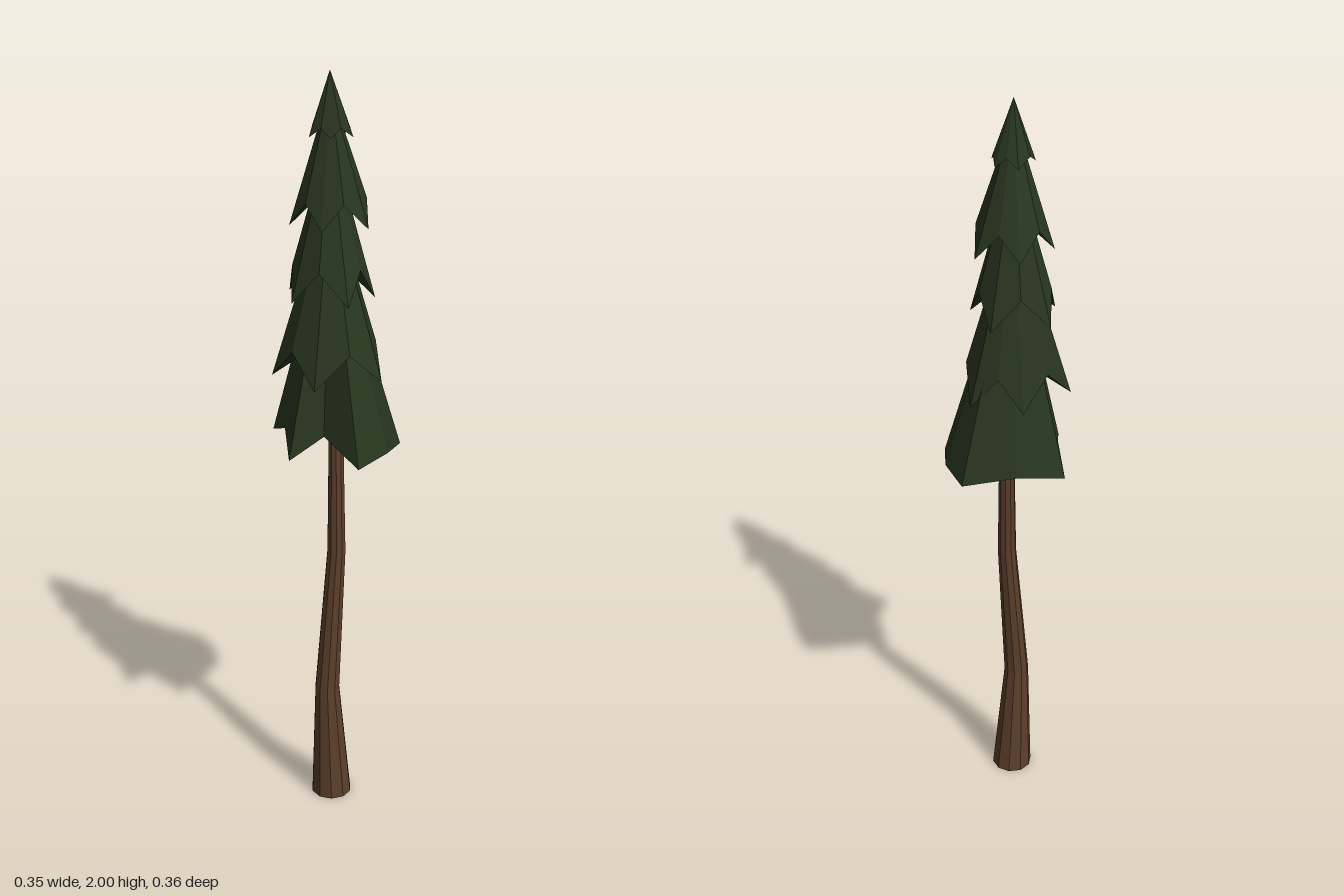
import * as THREE from 'three';

const bark = new THREE.MeshStandardMaterial({ color: 0x5c3f2b, flatShading: true });
const needles = new THREE.MeshStandardMaterial({ color: 0x28361f, flatShading: true });

// Flat-shaded mesh from a list of triangle corners
function facetMesh(name, points, material) {
  const geometry = new THREE.BufferGeometry().setFromPoints(points);
  geometry.computeVertexNormals();
  const mesh = new THREE.Mesh(geometry, material);
  mesh.name = name;
  return mesh;
}

// Point on a level circle, angle in degrees from +x towards +z
function onCircle(x, y, z, radius, degrees) {
  const a = THREE.MathUtils.degToRad(degrees);
  return new THREE.Vector3(x + radius * Math.cos(a), y, z + radius * Math.sin(a));
}

// Bent, tapering trunk lofted through ten-sided rings [x, y, z, radius]
function trunk() {
  const rings = [
    [0.005, 0, 0.028, 0.056], [-0.002, 0.34, 0.042, 0.034],
    [0.018, 0.75, 0.023, 0.025], [0.012, 1.2, 0.01, 0.018],
  ];
  const at = (k, i) => onCircle(...rings[k], i * 36);
  const base = onCircle(...rings[0].slice(0, 3), 0, 0);
  const tris = [];
  for (let i = 0; i < 10; i++) {
    for (let k = 0; k < rings.length - 1; k++) {
      const a = at(k, i), b = at(k, i + 1), c = at(k + 1, i + 1), d = at(k + 1, i);
      tris.push(a, c, b, a, d, c);
    }
    tris.push(base, at(0, i), at(0, i + 1));
  }
  return facetMesh('trunk', tris, bark);
}

// One tier: cone over a star rim with a hollowed underside.
// Each tip is [degrees, radius]; a raised notch follows it halfway to the next tip.
function tier({ y, z, rise, apex, tips, notches }, index) {
  const rim = [];
  tips.forEach(([angle, radius], i) => {
    const [next, nextRadius] = tips[(i + 1) % tips.length];
    const middle = angle + THREE.MathUtils.euclideanModulo(next - angle, 360) / 2;
    const notch = notches[i % notches.length];
    rim.push(onCircle(0.002, y, z, radius, angle));
    rim.push(onCircle(0.002, y + rise * (1 - notch), z, notch * (radius + nextRadius) / 2, middle));
  });
  const top = new THREE.Vector3(0.002, apex, 0.027);
  const under = new THREE.Vector3(0.006, y + 0.1, 0.02);
  const tris = [];
  rim.forEach((p, i) => {
    const q = rim[(i + 1) % rim.length];
    tris.push(top, q, p, under, p, q);
  });
  return facetMesh(`foliageTier${index + 1}`, tris, needles);
}

// Tiers from the widest at the bottom to the tip
const tiers = [
  { y: 1.055, z: 0.01, rise: 0.15, apex: 1.66, notches: [0.93, 0.62, 0.7, 0.83, 0.95],
    tips: [[-13, 0.176], [54, 0.206], [111, 0.174], [192, 0.179], [282, 0.194]] },
  { y: 1.245, z: 0.028, rise: 0.45, apex: 1.73, notches: [0.82],
    tips: [[8, 0.143], [88, 0.144], [160, 0.147], [233, 0.14], [290, 0.148]] },
  { y: 1.45, z: 0.025, rise: 0.4, apex: 1.86, notches: [0.8],
    tips: [[-10, 0.112], [52, 0.125], [125, 0.12], [190, 0.116], [272, 0.113]] },
  { y: 1.63, z: 0.028, rise: 0.35, apex: 1.96, notches: [0.82],
    tips: [[10, 0.105], [85, 0.09], [158, 0.1], [235, 0.105], [295, 0.118]] },
  { y: 1.845, z: 0.025, rise: 0.15, apex: 2, notches: [0.85],
    tips: [[0, 0.058], [70, 0.042], [140, 0.055], [230, 0.055], [295, 0.055]] },
];

export function createModel() {
  const tree = new THREE.Group();
  tree.name = 'pineTree';
  const foliage = new THREE.Group();
  foliage.name = 'foliage';
  foliage.add(...tiers.map(tier));
  tree.add(trunk(), foliage);
  return tree;
}
